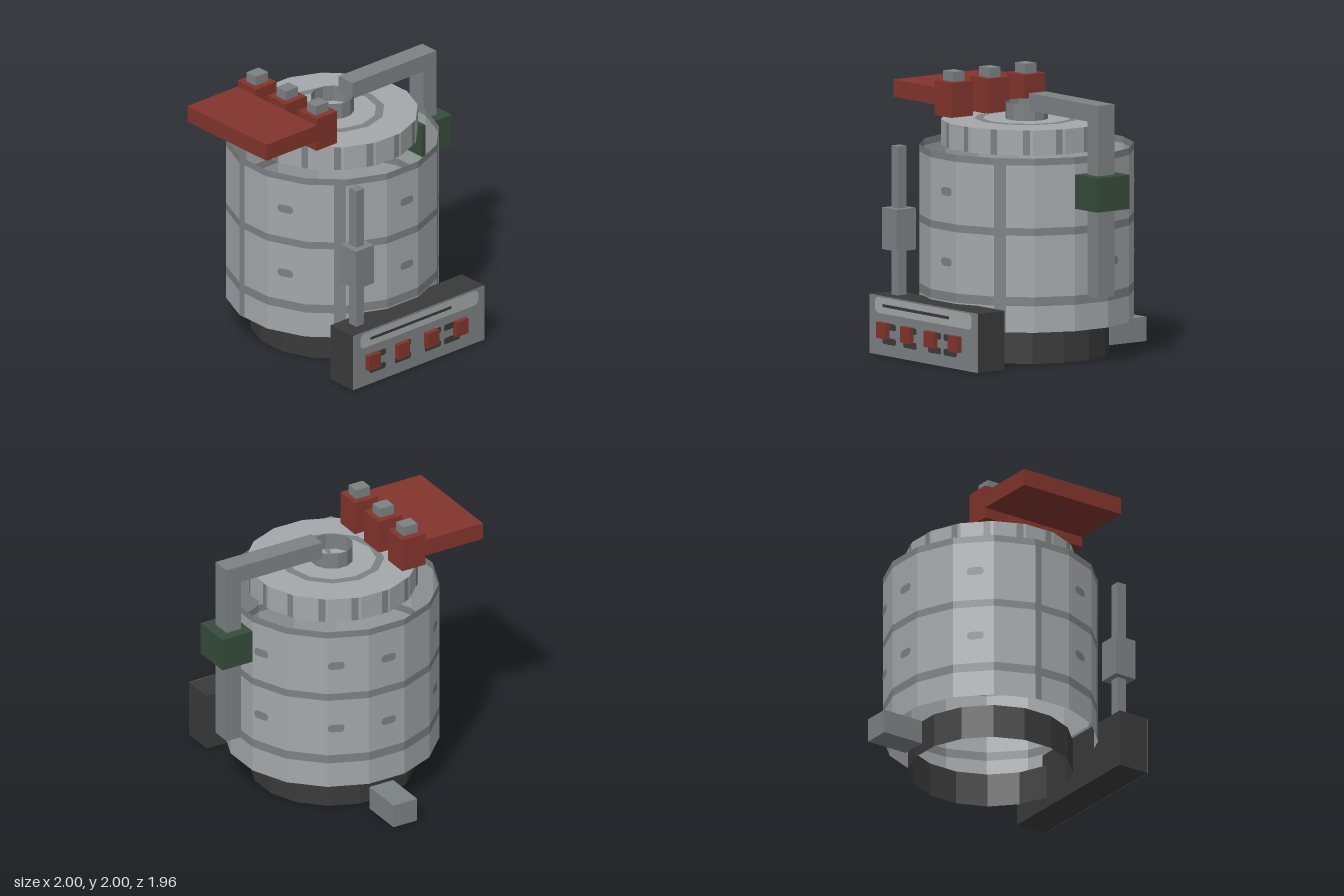
import * as THREE from 'three';

const SIDES = 16;
const CZ = 0.018; // vessel axis in z
const STEP = (Math.PI * 2) / SIDES;

function paint(name, color) {
  const m = new THREE.MeshStandardMaterial({ color, flatShading: true, side: THREE.DoubleSide });
  m.name = name;
  return m;
}

export function createModel() {
  const light = paint('light steel', 0xa4a8aa);
  const steel = paint('steel grey', 0x7c8183);
  const dark = paint('charcoal', 0x3a3a3a);
  const red = paint('red', 0x82342c);
  const green = paint('green', 0x354c3b);

  const model = new THREE.Group();
  model.name = 'kettle';

  function add(name, geometry, material, parent = model) {
    const mesh = new THREE.Mesh(geometry, material);
    mesh.name = name;
    parent.add(mesh);
    return mesh;
  }
  // box from its limits on each axis
  function box(name, material, x0, x1, y0, y1, z0, z1) {
    const g = new THREE.BoxGeometry(x1 - x0, y1 - y0, z1 - z0);
    g.translate((x0 + x1) / 2, (y0 + y1) / 2, (z0 + z1) / 2);
    return add(name, g, material);
  }
  // open polygonal tube with a flat side facing the front
  function tube(name, material, apothem, y0, y1, sides = SIDES) {
    const r = apothem / Math.cos(Math.PI / sides);
    const g = new THREE.CylinderGeometry(r, r, y1 - y0, sides, 1, true, Math.PI / sides);
    g.translate(0, (y0 + y1) / 2, CZ);
    return add(name, g, material);
  }
  // flat plate with rounded ends or corners
  function plate(w, h, r) {
    const x = w / 2, y = h / 2, s = new THREE.Shape();
    s.moveTo(-x + r, -y);
    s.lineTo(x - r, -y);
    s.absarc(x - r, -y + r, r, -Math.PI / 2, 0);
    s.lineTo(x, y - r);
    s.absarc(x - r, y - r, r, 0, Math.PI / 2);
    s.lineTo(-x + r, y);
    s.absarc(-x + r, y - r, r, Math.PI / 2, Math.PI);
    s.lineTo(-x, -y + r);
    s.absarc(-x + r, -y + r, r, Math.PI, Math.PI * 1.5);
    return new THREE.ShapeGeometry(s, 4);
  }
  // lay a flat plate on the wall facet that holds the given angle
  function onWall(name, geometry, apothem, degrees, y) {
    const a = THREE.MathUtils.degToRad(degrees);
    const facet = Math.round(a / STEP) * STEP;
    geometry.translate(apothem * Math.tan(a - facet), y, apothem + 0.003);
    geometry.rotateY(facet);
    geometry.translate(0, 0, CZ);
    return add(name, geometry, steel);
  }

  // vessel wall in alternating bands
  const levels = [0.25, 0.44, 0.505, 0.945, 1.0, 1.45, 1.5];
  for (let i = 0; i < 6; i++) {
    tube(i % 2 ? 'vesselBand' : 'vesselWall', i % 2 ? steel : light, 0.75, levels[i], levels[i + 1]);
  }
  // upright seams and rivets
  for (const [deg, w] of [[37.6, 0.085], [322.4, 0.085], [261, 0.05]]) {
    onWall('seam', new THREE.PlaneGeometry(w, 1.25), 0.75, deg, 0.875);
  }
  for (const deg of [3, 107, 151, 181, 226, 292]) {
    for (const y of [0.72, 1.225]) onWall('rivet', plate(0.12, 0.06, 0.028), 0.75, deg, y);
  }

  // base ring
  tube('baseRing', dark, 0.575, 0, 0.25);

  // lid
  tube('lidSkirt', light, 0.6, 1.5, 1.68);
  const lidTop = new THREE.CircleGeometry(0.6 / Math.cos(STEP / 2), SIDES, STEP / 2);
  lidTop.rotateX(-Math.PI / 2).translate(0, 1.68, CZ);
  add('lidTop', lidTop, light);
  for (let i = 0; i < SIDES; i++) {
    onWall('lidStripe', new THREE.PlaneGeometry(0.05, 0.18), 0.6, i * 22.5 + 7, 1.59);
  }
  const lidRing = new THREE.RingGeometry(0.315, 0.375, 12, 1);
  lidRing.rotateX(-Math.PI / 2).translate(0, 1.684, CZ);
  add('lidRing', lidRing, steel);

  // spout with the four armed mark inside it
  tube('spout', steel, 0.148, 1.68, 1.8, 12);
  const mark = new THREE.Group();
  mark.name = 'spoutMark';
  mark.position.set(0, 1.684, CZ);
  mark.rotation.y = -0.3;
  model.add(mark);
  add('markCentre', new THREE.PlaneGeometry(0.14, 0.14).rotateX(-Math.PI / 2), steel, mark);
  for (let i = 0; i < 4; i++) {
    const arm = new THREE.PlaneGeometry(0.035, 0.09).translate(0, 0.1, 0);
    add('markArm', arm.rotateX(-Math.PI / 2).rotateY(i * Math.PI / 2), steel, mark);
  }

  // side arm with its clamp
  box('armPost', steel, 0.8, 0.92, 0.5, 1.88, -0.057, 0.093);
  box('armBeam', steel, 0.125, 0.8, 1.755, 1.88, -0.057, 0.093);
  box('armClamp', green, 0.72, 1.0, 1.13, 1.375, -0.132, 0.167);

  // red handle with three bolted blocks
  box('handle', red, -1.0, -0.525, 1.755, 1.88, -0.407, 0.44);
  for (const z of [-0.305, 0.017, 0.342]) {
    box('handleBlock', red, -0.525, -0.33, 1.68, 1.93, z - 0.098, z + 0.098);
    box('handleBolt', steel, -0.487, -0.37, 1.93, 2.0, z - 0.05, z + 0.05);
  }

  // gauge tube in front
  box('gaugePost', steel, -0.505, -0.43, 0.43, 1.5, 0.767, 0.843);
  box('gaugeBox', steel, -0.55, -0.38, 0.755, 1.055, 0.72, 0.892);

  // control panel
  box('panelBody', dark, -0.625, 0.622, 0.005, 0.43, 0.7, 0.941);
  box('panelFace', steel, -0.625, 0.622, 0.005, 0.43, 0.941, 0.945);
  add('panelStrip', plate(1.12, 0.115, 0.04).translate(0, 0.363, 0.948), light);
  add('panelSlot', plate(0.77, 0.022, 0.005).translate(-0.083, 0.364, 0.951), dark);
  for (const x of [-0.395, -0.155, 0.13, 0.31]) {
    for (const y of [0.113, 0.218]) {
      add('panelMark', plate(0.155, 0.048, 0.02).translate(x, y, 0.948), dark);
    }
  }
  for (const x of [-0.45, -0.173, 0.104, 0.38]) {
    box('knob', red, x - 0.056, x + 0.056, 0.13, 0.245, 0.945, 0.982);
  }

  // foot block behind
  box('rearBlock', steel, -0.1, 0.097, 0, 0.175, -0.982, -0.655);

  return model;
}
